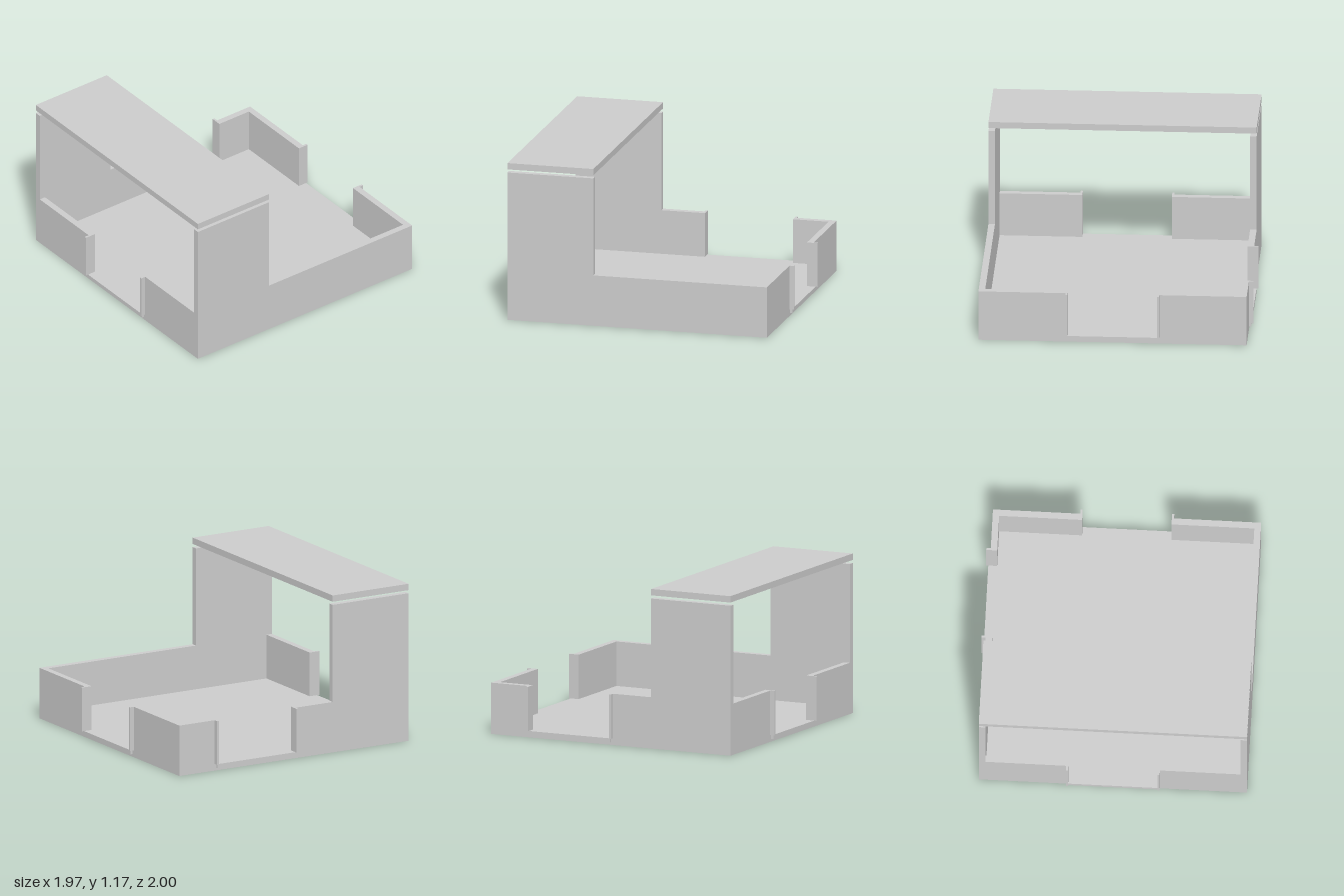
import * as THREE from 'three';

const FLOOR = 0.05, LOW = 0.375, TALL = 1.097;
const X0 = -0.953, X1 = 0.98, Z0 = -0.968, Z1 = 0.965, T = 0.047;
const ROOF_Z = 0.325;

export function createModel() {
  const model = new THREE.Group();
  model.name = 'openBuilding';
  const material = new THREE.MeshStandardMaterial({ color: 0xcccccc, flatShading: true });

  const add = (name, geometry) => {
    const mesh = new THREE.Mesh(geometry, material);
    mesh.name = name;
    model.add(mesh);
  };

  // Box given by its extents along each axis
  const block = (name, [xa, xb], [ya, yb], [za, zb]) => {
    const geometry = new THREE.BoxGeometry(xb - xa, yb - ya, zb - za);
    geometry.translate((xa + xb) / 2, (ya + yb) / 2, (za + zb) / 2);
    add(name, geometry);
  };

  // Side wall: outline in (z, y), thickened inwards from its larger x
  const sideWall = (name, xMax, points) => {
    const shape = new THREE.Shape(points.map(([z, y]) => new THREE.Vector2(z, y)));
    const geometry = new THREE.ExtrudeGeometry(shape, { depth: T, bevelEnabled: false });
    geometry.rotateY(-Math.PI / 2);
    geometry.translate(xMax, 0, 0);
    add(name, geometry);
  };

  // Floor slab and floating roof panel
  block('floor', [X0, X1], [0, FLOOR], [Z0, Z1]);
  block('roof', [X0, X1], [1.12, 1.167], [ROOF_Z, Z1]);

  // Stepped side walls, tall under the roof; the right one is split by a doorway
  const doorZ = [-0.655, 0];
  const post = 0.016;
  const stepped = (zStart) => [
    [zStart, FLOOR], [Z1, FLOOR], [Z1, TALL], [ROOF_Z, TALL], [ROOF_Z, LOW], [zStart, LOW],
  ];
  sideWall('leftWall', X1, stepped(Z0));
  sideWall('rightFrontWall', X0 + T, stepped(doorZ[1] + post));
  block('rightBackWall', [X0, X0 + T], [FLOOR, LOW], [Z0, doorZ[0] - post]);

  // Low front and back walls, each with a central doorway, posts and sill
  const doorX = [-0.308, 0.336];
  const ends = [
    { name: 'front', wall: [Z1 - T, Z1], posts: [Z1 - T, 1], sill: [Z1, 0.982] },
    { name: 'back', wall: [Z0, Z0 + T], posts: [-1, Z0 + T], sill: [-0.985, Z0] },
  ];
  for (const { name, wall, posts, sill } of ends) {
    block(name + 'WallRight', [X0 + T, doorX[0] - post], [FLOOR, LOW], wall);
    block(name + 'WallLeft', [doorX[1] + post, X1 - T], [FLOOR, LOW], wall);
    block(name + 'DoorPostRight', [doorX[0] - post, doorX[0]], [FLOOR, LOW], posts);
    block(name + 'DoorPostLeft', [doorX[1], doorX[1] + post], [FLOOR, LOW], posts);
    block(name + 'DoorSill', doorX, [0.02, FLOOR], sill);
  }

  // Side doorway posts and sill
  const postX = [-0.985, X0 + T];
  block('sideDoorPostBack', postX, [FLOOR, LOW], [doorZ[0] - post, doorZ[0]]);
  block('sideDoorPostFront', postX, [FLOOR, LOW], [doorZ[1], doorZ[1] + post]);
  block('sideDoorSill', [-0.97, X0], [0.02, FLOOR], doorZ);

  return model;
}
